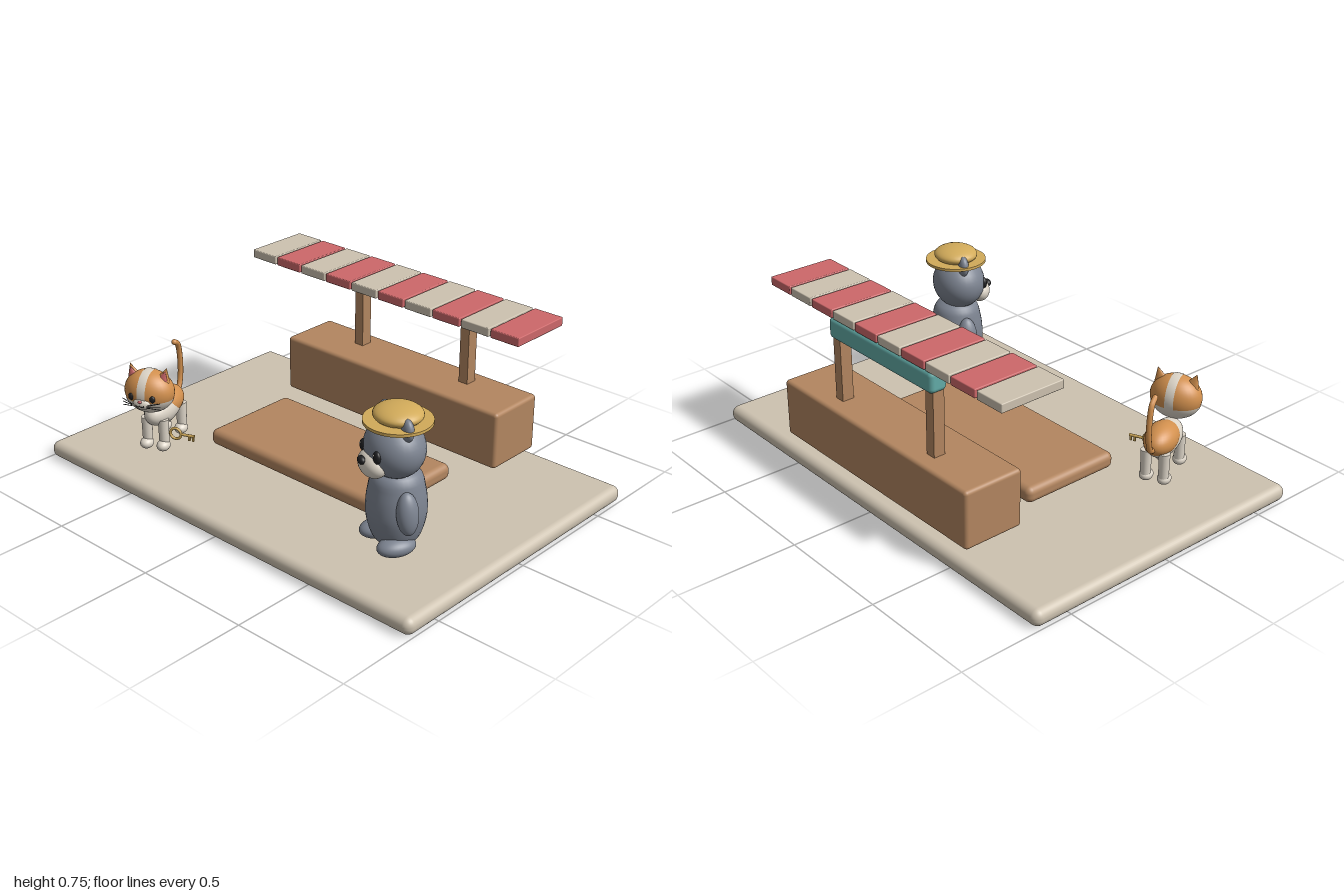
import * as THREE from 'three';
import { RoundedBoxGeometry } from 'three/addons/geometries/RoundedBoxGeometry.js';

const mat = (name, color) => Object.assign(new THREE.MeshStandardMaterial({ color }), { name });

export function createModel() {
  const M = {
    sand: mat('sand', 0xcdc2b0), wood: mat('wood', 0xb38660), teal: mat('teal', 0x63aca8),
    red: mat('red', 0xcd686a), slate: mat('slate', 0x7d8491), straw: mat('straw', 0xd2ab5a),
    orange: mat('orange', 0xd2904e), cream: mat('cream', 0xddd5c8), black: mat('black', 0x202022),
  };
  const model = new THREE.Group();
  model.name = 'marketScene';

  // Helpers
  const add = (parent, name, geo, material, x = 0, y = 0, z = 0) => {
    const m = new THREE.Mesh(geo, material);
    m.name = name;
    m.position.set(x, y, z);
    parent.add(m);
    return m;
  };
  const box = (parent, name, material, [x0, x1], [y0, y1], [z0, z1], r) =>
    add(parent, name, new RoundedBoxGeometry(x1 - x0, y1 - y0, z1 - z0, 4, r), material,
      (x0 + x1) / 2, (y0 + y1) / 2, (z0 + z1) / 2);
  const blob = (parent, name, material, [x, y, z], [rx, ry, rz]) =>
    add(parent, name, new THREE.SphereGeometry(1, 32, 22).scale(rx, ry, rz), material, x, y, z);
  const figure = (name, x, z, turn) => {
    const g = new THREE.Group();
    g.name = name;
    g.position.set(x, 0, z);
    g.rotation.y = turn;
    model.add(g);
    return g;
  };

  // Ground slab and low table
  box(model, 'groundSlab', M.sand, [-1, 1], [0, 0.072], [-0.665, 0.665], 0.034);
  box(model, 'lowTable', M.wood, [-0.468, 0.468], [0.08, 0.151], [-0.228, 0.228], 0.028);

  // Stall: counter, posts, beam and striped canopy
  box(model, 'counter', M.wood, [-0.58, 0.58], [0.105, 0.354], [-0.634, -0.364], 0.016);
  for (const s of [-1, 1])
    add(model, 'post', new THREE.BoxGeometry(0.045, 0.57, 0.052), M.wood, s * 0.291, 0.355, -0.538);
  box(model, 'beam', M.teal, [-0.322, 0.322], [0.623, 0.713], [-0.58, -0.5], 0.02);
  for (let i = 0; i < 10; i++)
    add(model, 'canopySlat', new RoundedBoxGeometry(0.135, 0.037, 0.29, 2, 0.004),
      i % 2 ? M.red : M.sand, (i - 4.5) * 0.144, 0.733, -0.436);

  // Bear
  const bear = figure('bear', 0.64, 0.318, -0.4);
  const profile = new THREE.SplineCurve([[0, 0.09], [0.05, 0.1], [0.09, 0.14], [0.112, 0.21],
    [0.116, 0.27], [0.107, 0.34], [0.085, 0.4], [0, 0.44]].map(p => new THREE.Vector2(...p)));
  const bodyPts = profile.getPoints(28).map(p => new THREE.Vector2(Math.max(0, p.x), p.y));
  add(bear, 'bearBody', new THREE.LatheGeometry(bodyPts, 32), M.slate);
  blob(bear, 'bearHead', M.slate, [0, 0.502, 0.012], [0.13, 0.115, 0.113]);
  blob(bear, 'bearMuzzle', M.cream, [0, 0.452, 0.1], [0.075, 0.052, 0.05]);
  blob(bear, 'bearNose', M.black, [0, 0.475, 0.145], [0.022, 0.016, 0.015]);
  for (const s of [-1, 1]) {
    blob(bear, 'bearEye', M.black, [s * 0.056, 0.503, 0.11], [0.02, 0.025, 0.014]);
    blob(bear, 'bearEyeGlint', M.cream, [s * 0.056 - 0.005, 0.511, 0.121], [0.005, 0.005, 0.004]);
    blob(bear, 'bearEar', M.slate, [s * 0.088, 0.605, 0.008], [0.035, 0.045, 0.023]);
    blob(bear, 'bearArm', M.slate, [s * 0.12, 0.282, 0.015], [0.037, 0.084, 0.043]).rotation.z = s * 0.15;
    blob(bear, 'bearFoot', M.slate, [s * 0.075, 0.128, 0.035], [0.052, 0.037, 0.078]);
  }

  // Straw hat
  add(bear, 'hatBrim', new THREE.CylinderGeometry(0.131, 0.131, 0.012, 40), M.straw, 0, 0.607, 0);
  blob(bear, 'hatCrown', M.straw, [0, 0.633, 0], [0.098, 0.036, 0.094]);

  // Cat body, chest and legs
  const cat = figure('cat', -0.63, 0.335, 0.4);
  blob(cat, 'catBody', M.cream, [0, 0.245, 0.01], [0.063, 0.066, 0.125]);
  blob(cat, 'catBackPatch', M.orange, [0, 0.26, -0.025], [0.066, 0.062, 0.105]);
  for (const s of [-1, 1]) for (const z of [-0.085, 0.088]) {
    add(cat, 'catLeg', new THREE.CylinderGeometry(0.023, 0.021, 0.12, 18), M.cream, s * 0.038, 0.17, z);
    blob(cat, 'catPaw', M.cream, [s * 0.038, 0.113, z + 0.01], [0.028, 0.024, 0.034]);
  }

  // Cat tail
  const tail = new THREE.CatmullRomCurve3([[0.25, -0.1], [0.262, -0.145], [0.31, -0.168], [0.4, -0.172],
    [0.465, -0.155], [0.485, -0.125]].map(([y, z]) => new THREE.Vector3(0, y, z)));
  add(cat, 'catTail', new THREE.TubeGeometry(tail, 32, 0.012, 10), M.orange);
  blob(cat, 'catTailTip', M.orange, [0, 0.485, -0.125], [0.012, 0.012, 0.012]);

  // Cat head with a pale chin and a blaze over the crown
  const head = new THREE.Group();
  head.name = 'catHead';
  head.position.set(0.003, 0.375, 0.127);
  cat.add(head);
  blob(head, 'catSkull', M.orange, [0, 0, 0], [0.107, 0.091, 0.084]);
  add(head, 'catChin', new THREE.SphereGeometry(1, 32, 12, 0, Math.PI * 2, Math.PI * 0.58, Math.PI * 0.42)
    .scale(0.1085, 0.0925, 0.0855), M.cream);
  add(head, 'catBlaze', new THREE.SphereGeometry(1, 40, 6, 0, Math.PI * 2, Math.PI / 2 - 0.17, 0.34)
    .rotateZ(Math.PI / 2).scale(0.109, 0.093, 0.086), M.cream);
  blob(head, 'catMuzzle', M.cream, [0, -0.028, 0.07], [0.04, 0.026, 0.026]);
  blob(head, 'catNose', M.red, [0, -0.013, 0.094], [0.009, 0.006, 0.006]);
  for (const s of [-1, 1]) {
    blob(head, 'catEye', M.black, [s * 0.047, -0.003, 0.074], [0.013, 0.015, 0.008]);
    const ear = add(head, 'catEar', new THREE.ConeGeometry(0.036, 0.07, 20).scale(1, 1, 0.5), M.orange,
      s * 0.072, 0.078, 0);
    ear.rotation.z = -s * 0.3;
    add(ear, 'catInnerEar', new THREE.ConeGeometry(0.027, 0.054, 20).scale(1, 1, 0.5), M.red, 0, -0.004, 0.008);
    for (const k of [-1, 0, 1]) {
      const whisker = add(head, 'catWhisker', new THREE.CylinderGeometry(0.0016, 0.0016, 0.055, 6), M.black,
        s * 0.058, -0.028 + k * 0.009, 0.088);
      whisker.rotation.set(0, s * 0.35, Math.PI / 2 + s * k * 0.18);
    }
    const mouth = add(head, 'catMouth', new THREE.TorusGeometry(0.009, 0.0018, 6, 12, Math.PI), M.black,
      s * 0.009, -0.026, 0.095);
    mouth.rotation.z = Math.PI;
  }

  // Key beside the cat
  const key = new THREE.Group();
  key.name = 'key';
  key.position.set(0.092, 0.172, 0.088);
  cat.add(key);
  add(key, 'keyRing', new THREE.TorusGeometry(0.024, 0.006, 10, 28), M.straw);
  add(key, 'keyShaft', new THREE.CylinderGeometry(0.006, 0.006, 0.065, 12).rotateZ(Math.PI / 2), M.straw, 0.053);
  for (const x of [0.062, 0.079])
    add(key, 'keyTooth', new THREE.BoxGeometry(0.009, 0.022, 0.008), M.straw, x, -0.012, 0);

  return model;
}
